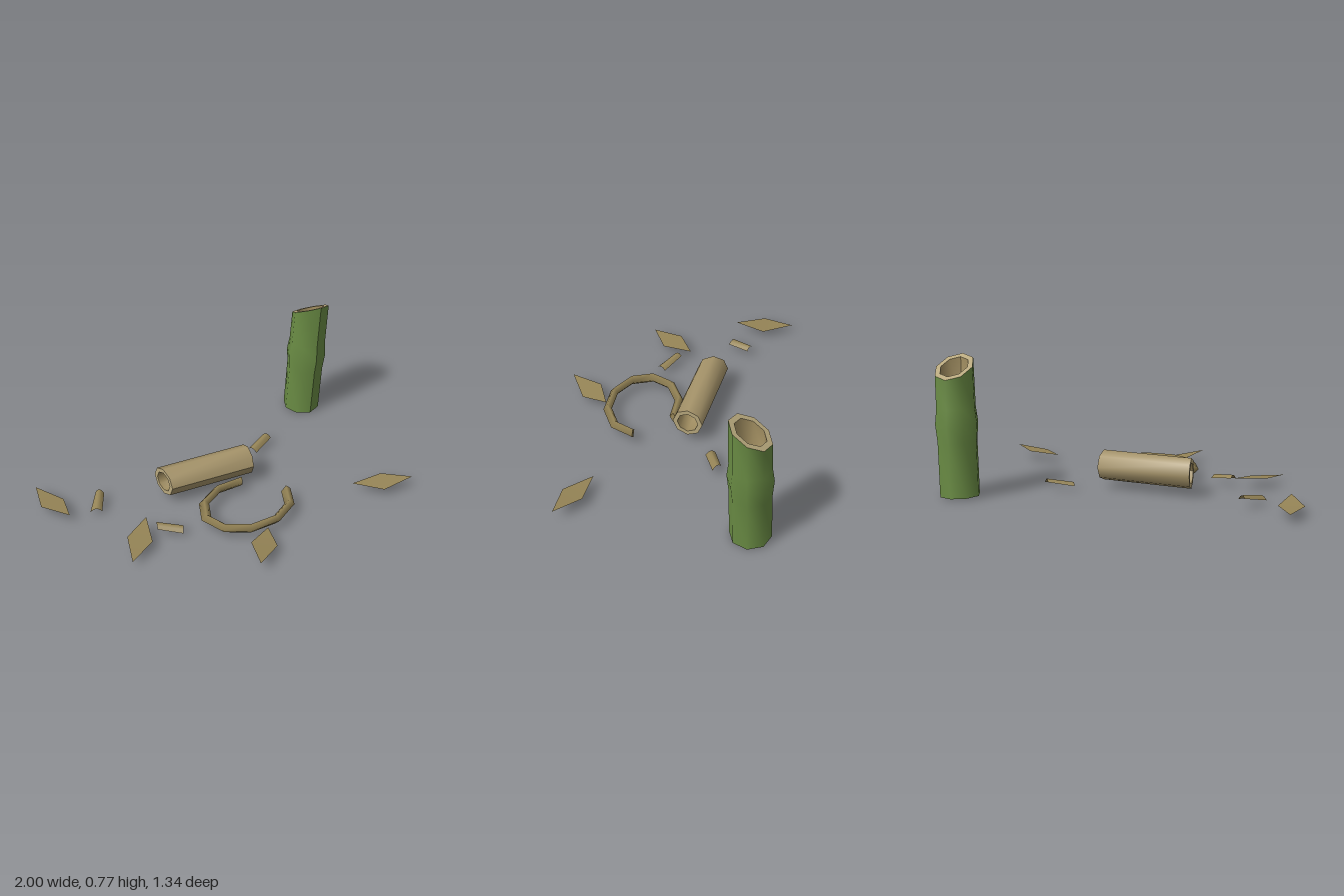
import * as THREE from 'three';
import { mergeGeometries } from 'three/addons/utils/BufferGeometryUtils.js';

const mat = (name, color, side = THREE.FrontSide) => {
  const m = new THREE.MeshStandardMaterial({ color, side });
  m.name = name;
  return m;
};

export function createModel() {
  const green = mat('green bark', 0x6a8c44);
  const tan = mat('dry bark', 0xa6946a);
  const cutWood = mat('cut wood', 0xb9a97e);
  const inside = mat('inner wood', 0xa08d60);
  const dry = mat('dry leaf', 0x958456, THREE.DoubleSide);
  const model = new THREE.Group();

  const add = (parent, name, geometry, material) => {
    const mesh = new THREE.Mesh(geometry, material);
    mesh.name = name;
    parent.add(mesh);
    return mesh;
  };

  // Hollow eight-sided cane: bark, two cut rims, and a bore closed by a wall in the middle.
  // topSlope and bottomSlope slant the end cuts along z.
  function cane(name, profile, bore, depth, material, topSlope, bottomSlope) {
    const group = new THREE.Group();
    group.name = name;
    const [r0] = profile[0];
    const [r1, top] = profile[profile.length - 1];
    const lathe = (points) => {
      const g = new THREE.LatheGeometry(points.map(([x, y]) => new THREE.Vector2(x, y)), 8);
      const p = g.attributes.position;
      for (let i = 0; i < p.count; i++) {
        const y = p.getY(i), z = p.getZ(i);
        if (y > top - 1e-4) p.setY(i, y + topSlope * z);
        else if (y < 1e-4) p.setY(i, y + bottomSlope * z);
      }
      g.computeVertexNormals();
      return g;
    };
    add(group, 'bark', lathe(profile), material);
    add(group, 'topRim', lathe([[r1, top], [bore, top]]), cutWood);
    add(group, 'bottomRim', lathe([[bore, 0], [r0, 0]]), cutWood);
    add(group, 'topBore', lathe([[bore, top], [bore * 0.95, top - depth], [0, top - depth - 0.01]]), inside);
    add(group, 'bottomBore', lathe([[0, depth + 0.01], [bore * 0.95, depth], [bore, 0]]), inside);
    model.add(group);
    return group;
  }

  // Standing stalk with a swollen node and a slanted cut
  const stalk = cane('standingStalk',
    [[0.112, 0], [0.112, 0.3], [0.121, 0.4], [0.111, 0.48], [0.109, 0.705]],
    0.08, 0.18, green, 0.57, 0);
  stalk.position.set(0.863, 0.004, -0.56);
  stalk.rotation.set(0.03, 0, -0.035);

  // Fallen dry piece
  const fallen = cane('fallenCane', [[0.086, 0], [0.086, 0.53]], 0.06, 0.15, tan, 0, 0.24);
  fallen.position.set(-0.33, 0.122, -0.145);
  fallen.rotation.set(0, -0.094, -Math.PI / 2);

  // Open hoop with a square section, squashed front to back
  const R = 0.26, r = 0.031, arc = Math.PI * 1.6;
  const startCap = new THREE.CircleGeometry(r, 4).rotateX(Math.PI / 2).translate(R, 0, 0);
  const endCap = new THREE.CircleGeometry(r, 4).rotateX(-Math.PI / 2).translate(R, 0, 0).rotateZ(arc);
  const hoop = add(model, 'brokenHoop',
    mergeGeometries([new THREE.TorusGeometry(R, r, 4, 8, arc), startCap, endCap]).rotateX(Math.PI / 2), dry);
  hoop.scale.z = 0.78;
  hoop.position.set(0.02, 0.063, 0.2);

  // Sheet between two edges, arched in the middle by lift
  function sheet(name, [a, b, c, d], lift) {
    const steps = lift ? 4 : 1, pos = [], index = [];
    for (let i = 0; i <= steps; i++) {
      const t = i / steps;
      for (const [p, q] of [[a, d], [b, c]]) {
        const v = new THREE.Vector3(...p).lerp(new THREE.Vector3(...q), t);
        pos.push(v.x, v.y + lift * 4 * t * (1 - t), v.z);
      }
      if (i < steps) {
        const k = 2 * i;
        index.push(k, k + 2, k + 1, k + 1, k + 2, k + 3);
      }
    }
    const g = new THREE.BufferGeometry();
    g.setAttribute('position', new THREE.Float32BufferAttribute(pos, 3));
    g.setIndex(index);
    g.computeVertexNormals();
    // keep the front of each sheet facing up
    if (g.attributes.normal.getY(0) < 0) {
      g.setIndex(index.reverse());
      g.computeVertexNormals();
    }
    add(model, name, g, dry);
  }

  // Fallen leaves: tip, side, tip, side
  [
    [[-0.96, 0.05, -0.54], [-0.86, 0.045, -0.37], [-0.895, 0.068, -0.195], [-1.0, 0.05, -0.36]],
    [[-0.53, 0.07, 0.03], [-0.58, 0.048, 0.21], [-0.745, 0.045, 0.3], [-0.69, 0.06, 0.12]],
    [[0.03, 0.05, 0.42], [0, 0.045, 0.57], [-0.165, 0.07, 0.67], [-0.12, 0.06, 0.49]],
    [[0.655, 0.052, 0.33], [0.845, 0.06, 0.34], [0.98, 0.07, 0.465], [0.785, 0.05, 0.465]],
  ].forEach((corners, i) => sheet(`leaf${i + 1}`, corners, 0));

  // Curved bark chips: one long edge, then the other
  [
    [[-0.635, 0.045, -0.305], [-0.765, 0.025, -0.21], [-0.705, 0.03, -0.18], [-0.675, 0.055, -0.33]].map((p, i, l) => [l[0], l[2], l[1], l[3]][i]),
    [[-0.495, 0.055, 0.08], [-0.36, 0.03, 0.155], [-0.39, 0.025, 0.21], [-0.51, 0.045, 0.13]],
    [[0.305, 0.03, -0.275], [0.44, 0.055, -0.33], [0.475, 0.045, -0.29], [0.335, 0.025, -0.225]],
  ].forEach((corners, i) => sheet(`barkChip${i + 1}`, corners, 0.02));

  return model;
}
